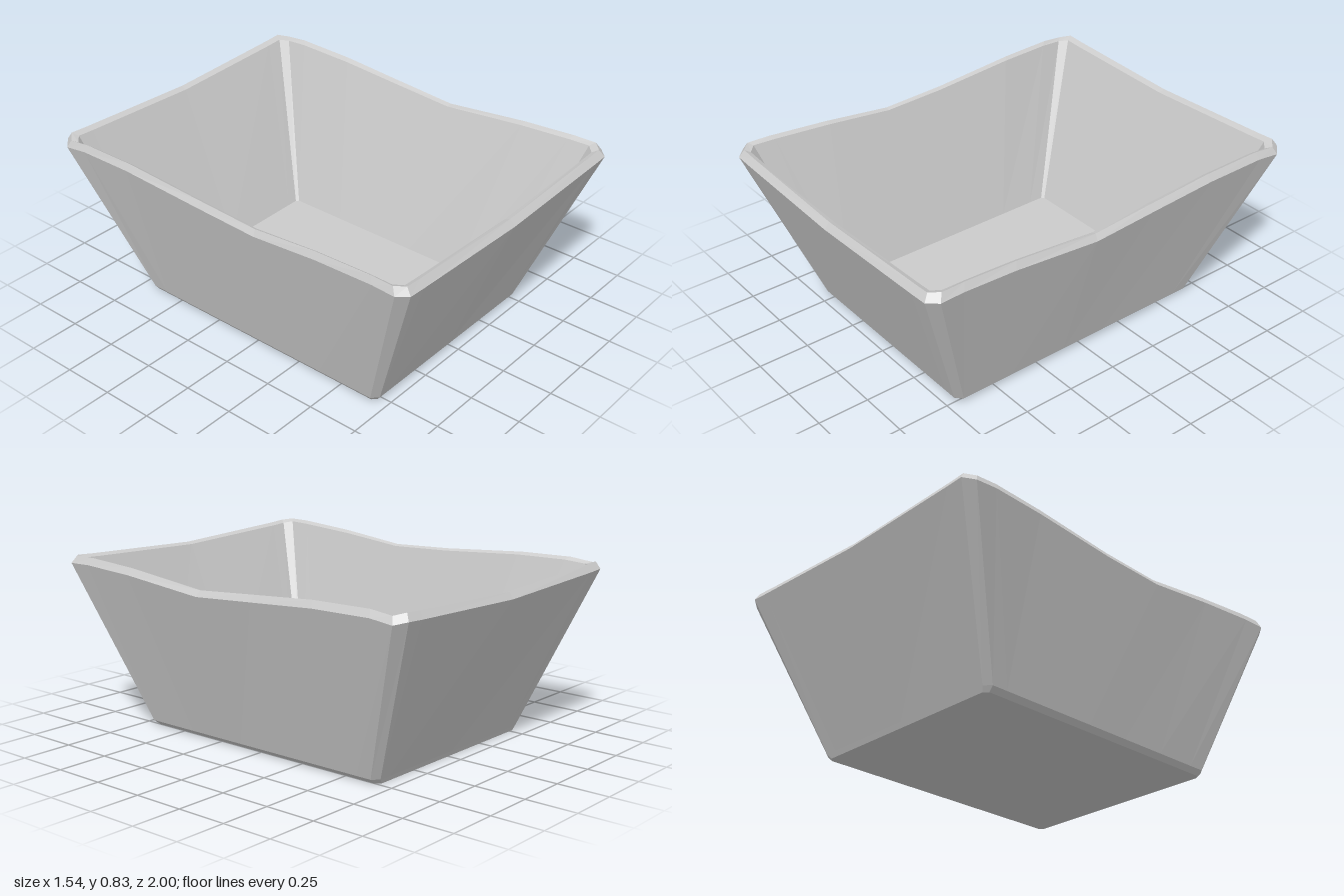
import * as THREE from 'three';

const material = new THREE.MeshStandardMaterial({ color: 0xcccccc, flatShading: true });

// Linear interpolation through [position, value] pairs sorted by position
function sample(keys, t) {
  if (t <= keys[0][0]) return keys[0][1];
  for (let i = 1; i < keys.length; i++) {
    const [p0, v0] = keys[i - 1], [p1, v1] = keys[i];
    if (t <= p1) return v0 + (v1 - v0) * (t - p0) / (p1 - p0);
  }
  return keys[keys.length - 1][1];
}

// Rim height offsets: the long sides sag in the middle, the ends are flat with raised corners
const sideSag = [[-1, 0.01], [-0.85, 0.03], [-0.55, 0.025], [0.13, -0.025], [0.6, 0.025], [0.9, 0.04], [1, 0.03]];
const endSag = [[-1, 0.03], [-0.9, 0], [0.9, 0], [1, 0.03]];
const sideStops = [0, 0.06, 0.2, 0.43, 0.6, 0.78, 0.94, 1];
const endStops = [0, 0.06, 0.5, 0.94, 1];

// Rectangular loop with cut corners; sag is how strongly the rim shape acts on it
function ring({ x0, x1, z0, z1, y, cut, sag }) {
  const pts = [];
  const end = (z, a, b) => endStops.forEach(t => {
    const x = a + (b - a) * t;
    pts.push(new THREE.Vector3(x, y + sag * sample(endSag, Math.cos(Math.PI * t) * 1), z));
  });
  const side = (x, a, b, bow) => sideStops.forEach(t => {
    const z = a + (b - a) * t;
    const inward = bow * sag * Math.sin(Math.PI * t);
    pts.push(new THREE.Vector3(x + inward, y + sag * sample(sideSag, z), z));
  });
  end(z1, x0 + cut, x1 - cut);
  side(x1, z1 - cut, z0 + cut, -0.01);
  end(z0, x1 - cut, x0 + cut);
  // Reversed stops keep the sag points at the same z on both sides
  const flip = [];
  side(x0, z0 + cut, z1 - cut, 0.025);
  return pts.concat(flip);
}

function mesh(name, points) {
  const geometry = new THREE.BufferGeometry().setFromPoints(points);
  geometry.computeVertexNormals();
  const m = new THREE.Mesh(geometry, material);
  m.name = name;
  return m;
}

// Band of quads joining consecutive loops
function band(name, ...loops) {
  const out = [];
  for (let k = 0; k + 1 < loops.length; k++) {
    const a = loops[k], b = loops[k + 1];
    a.forEach((p, i) => {
      const j = (i + 1) % a.length;
      out.push(p, a[j], b[j], p, b[j], b[i]);
    });
  }
  return mesh(name, out);
}

// Fan that closes a loop, facing up or down
function cap(name, loop, up) {
  const c = loop.reduce((s, p) => s.add(p), new THREE.Vector3()).divideScalar(loop.length);
  c.y = loop[0].y;
  const out = [];
  loop.forEach((p, i) => {
    const q = loop[(i + 1) % loop.length];
    out.push(c, up ? p : q, up ? q : p);
  });
  return mesh(name, out);
}

export function createModel() {
  const group = new THREE.Group();
  group.name = 'tray';

  // Loops from the underside, up the outside, over the rim and down the inside
  const under = ring({ x0: -0.54, x1: 0.50, z0: -0.68, z1: 0.69, y: 0, cut: 0.02, sag: 0 });
  const foot = ring({ x0: -0.56, x1: 0.53, z0: -0.69, z1: 0.71, y: 0.025, cut: 0.03, sag: 0 });
  const outerTop = ring({ x0: -0.77, x1: 0.77, z0: -1, z1: 1, y: 0.765, cut: 0.045, sag: 0.9 });
  const crest = ring({ x0: -0.755, x1: 0.75, z0: -0.98, z1: 0.975, y: 0.795, cut: 0.04, sag: 1 });
  const innerTop = ring({ x0: -0.735, x1: 0.725, z0: -0.95, z1: 0.95, y: 0.785, cut: 0.035, sag: 0.9 });
  const floorEdge = ring({ x0: -0.525, x1: 0.47, z0: -0.645, z1: 0.67, y: 0.045, cut: 0.012, sag: 0 });

  group.add(
    cap('base', under, false),
    band('footEdge', under, foot),
    band('outerWalls', foot, outerTop),
    band('rim', outerTop, crest, innerTop),
    band('innerWalls', innerTop, floorEdge),
    cap('floor', floorEdge, true),
  );
  return group;
}
